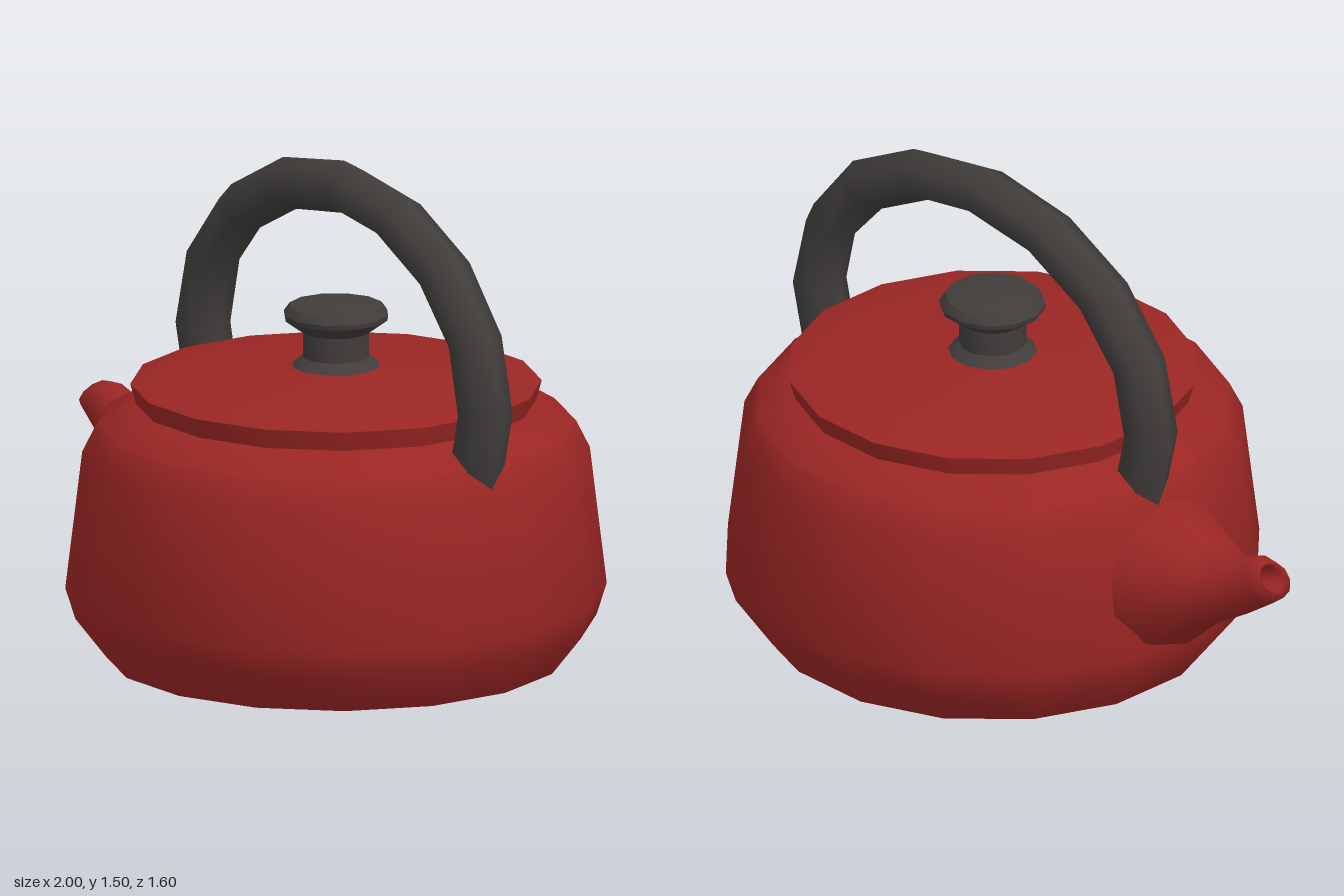
import * as THREE from 'three';
import { toCreasedNormals } from 'three/addons/utils/BufferGeometryUtils.js';

const red = new THREE.MeshStandardMaterial({ color: 0x9a2624 });
const dark = new THREE.MeshStandardMaterial({ color: 0x403d3b });

// Turned part from [radius, height] pairs, bottom to top
function turned(name, profile, sides, material) {
  const points = profile.map(([r, y]) => new THREE.Vector2(r, y));
  const geometry = toCreasedNormals(new THREE.LatheGeometry(points, sides), 0.6);
  const mesh = new THREE.Mesh(geometry, material);
  mesh.name = name;
  return mesh;
}

// Swept part from sections [upper x, upper y, lower x, lower y, half width in z]
function swept(name, sections, sides, material) {
  const positions = [];
  const index = [];
  sections.forEach(([ux, uy, lx, ly, w], i) => {
    for (let j = 0; j < sides; j++) {
      const t = (j / sides) * Math.PI * 2;
      const k = Math.cos(t) / 2;
      positions.push((ux + lx) / 2 + (ux - lx) * k, (uy + ly) / 2 + (uy - ly) * k, w * Math.sin(t));
      if (i === sections.length - 1) continue;
      const a = i * sides + j;
      const b = i * sides + ((j + 1) % sides);
      index.push(a, b, a + sides, b, b + sides, a + sides);
    }
  });
  const geometry = new THREE.BufferGeometry();
  geometry.setAttribute('position', new THREE.Float32BufferAttribute(positions, 3));
  geometry.setIndex(index);
  geometry.computeVertexNormals();
  const mesh = new THREE.Mesh(geometry, material);
  mesh.name = name;
  return mesh;
}

export function createModel() {
  const kettle = new THREE.Group();
  kettle.name = 'kettle';
  kettle.position.x = 0.2;

  // Body and lid
  kettle.add(turned('body', [
    [0, 0], [0.68, 0], [0.77, 0.115], [0.8, 0.21], [0.75, 0.625], [0.71, 0.705], [0.6, 0.77], [0.5, 0.775],
  ], 16, red));
  kettle.add(turned('lid', [
    [0.59, 0.765], [0.608, 0.83], [0.5, 0.855], [0.14, 0.882], [0, 0.885],
  ], 16, red));

  // Lid knob
  kettle.add(turned('knob', [
    [0.14, 0.875], [0.1, 0.91], [0.1, 0.985], [0.155, 1.025], [0.158, 1.04], [0.14, 1.065], [0.07, 1.076], [0, 1.078],
  ], 12, dark));

  // Spout and handle share one turned axis
  const fittings = new THREE.Group();
  fittings.name = 'spoutAndHandle';
  fittings.rotation.y = -0.18;
  kettle.add(fittings);

  // Spout, from inside the mouth, over the rim and back into the body
  fittings.add(swept('spout', [
    [-1.02, 0.52, -1.03, 0.5, 0.01],
    [-1.14, 0.583, -1.195, 0.52, 0.038],
    [-1.15, 0.6, -1.22, 0.508, 0.055],
    [-1.1, 0.605, -1.17, 0.47, 0.065],
    [-1.01, 0.57, -1.07, 0.4, 0.088],
    [-0.91, 0.577, -0.95, 0.325, 0.14],
    [-0.73, 0.645, -0.815, 0.205, 0.23],
    [-0.6, 0.66, -0.7, 0.18, 0.25],
  ], 10, red));

  // Arched handle: one half, mirrored about the crown
  const half = [
    [0.725, 0.64, 0.57, 0.69, 0.08],
    [0.78, 0.87, 0.61, 0.865, 0.08],
    [0.72, 1.11, 0.57, 1.05, 0.08],
    [0.555, 1.315, 0.435, 1.2, 0.08],
    [0.3, 1.45, 0.235, 1.305, 0.08],
  ];
  const left = half.map(([ux, uy, lx, ly, w]) => [-ux, uy, -lx, ly, w]);
  const handle = swept('handle', [...left, [0, 1.5, 0, 1.34, 0.08], ...half.reverse()], 6, dark);
  handle.position.z = -0.03;
  fittings.add(handle);

  const model = new THREE.Group();
  model.add(kettle);
  return model;
}
